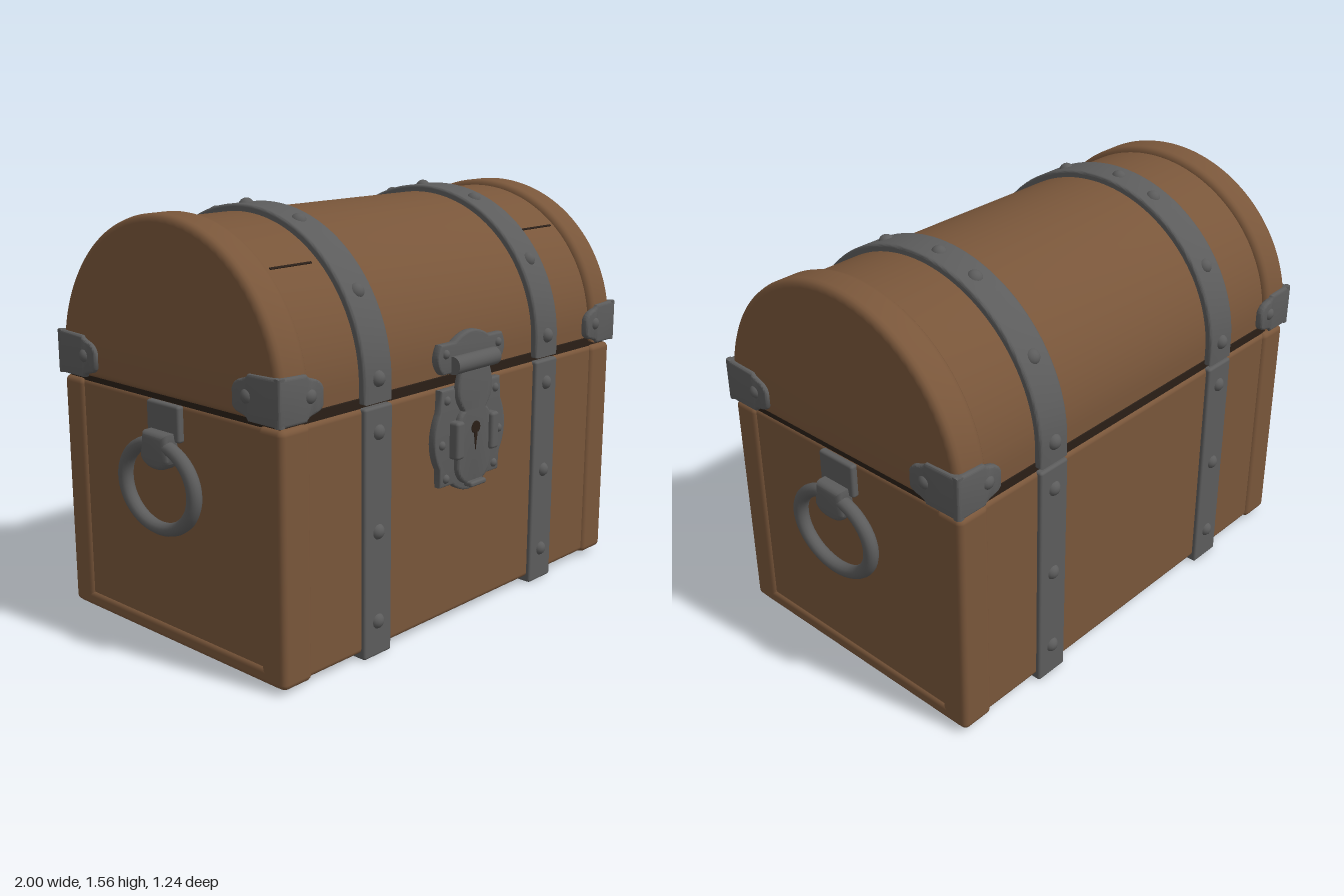
import * as THREE from 'three';
import { toCreasedNormals } from 'three/addons/utils/BufferGeometryUtils.js';
import { RoundedBoxGeometry } from 'three/addons/geometries/RoundedBoxGeometry.js';

const material = (name, color, side = THREE.FrontSide) => {
  const m = new THREE.MeshStandardMaterial({ color, side });
  m.name = name;
  return m;
};

export function createModel() {
  const wood = material('brown wood', 0x79563a);
  const metal = material('grey iron', 0x5c5c5c);
  const dark = material('dark gap', 0x2a1f17);
  const chest = new THREE.Group();
  chest.name = 'treasureChest';

  const CZ = -0.022, W = 0.577, SPRING = 0.98, H = 0.56, SEAM = 0.912;

  const add = (name, geo, mat, x = 0, y = 0, z = 0) => {
    const mesh = new THREE.Mesh(geo, mat);
    mesh.name = name;
    mesh.position.set(x, y, z);
    chest.add(mesh);
    return mesh;
  };
  const box = (name, w, h, d, r, mat, x, y, z) =>
    add(name, new RoundedBoxGeometry(w, h, d, 3, r), mat, x, y, z);

  // Extrusion from z = 0 to z = depth with softened edges
  const extrude = (shape, depth, bevel) => toCreasedNormals(new THREE.ExtrudeGeometry(shape, {
    depth: depth - 2 * bevel, bevelEnabled: true, bevelThickness: bevel, bevelSize: bevel,
    bevelOffset: -bevel, bevelSegments: 3, curveSegments: 40,
  }).translate(0, 0, bevel), 0.7);

  // Arched lid section, grown by d and running from x0 to x1
  const lidSection = (name, d, x0, x1, bevel, mat) => {
    const s = new THREE.Shape();
    s.moveTo(CZ - W - d, SEAM + 0.006);
    s.lineTo(CZ + W + d, SEAM + 0.006);
    s.lineTo(CZ + W + d, SPRING);
    s.absellipse(CZ, SPRING, W + d, H + d, 0, Math.PI, false);
    s.closePath();
    add(name, extrude(s, x1 - x0, bevel).rotateY(-Math.PI / 2), mat, x1);
  };

  const R = 0.03;
  const stud = (x, y, z) => add('stud', new THREE.SphereGeometry(R, 16, 10), metal, x, y, z);

  // Body, lid and the gap between them
  box('bodyPanels', 1.85, 0.885, 2 * W - 0.02, 0.02, wood, 0, 0.4645, CZ);
  box('seamCore', 1.84, 0.06, 2 * W - 0.04, 0.005, dark, 0, SEAM, CZ);
  lidSection('lidVault', -0.022, -0.82, 0.82, 0.004, wood);

  for (const sx of [-1, 1]) {
    // Corner posts of the body and end ribs of the lid
    for (const sz of [-1, 1])
      box('cornerPost', 0.135, 0.89, 0.115, 0.022, wood, sx * 0.8675, 0.462, CZ + sz * (W - 0.0575));
    lidSection('lidEndRib', 0, sx > 0 ? 0.8 : -0.935, sx > 0 ? 0.935 : -0.8, 0.026, wood);
    box('bottomEndRail', 0.135, 0.06, 2 * W - 0.04, 0.02, wood, sx * 0.8675, 0.047, CZ);

    // Iron bands with studs
    const bx = sx * 0.485;
    lidSection('lidBand', 0.004, bx - 0.07, bx + 0.07, 0.01, metal);
    box('bodyBand', 0.14, 0.906, 2 * W + 0.012, 0.01, metal, bx, 0.453, CZ);
    for (const sz of [-1, 1])
      for (const y of [0.13, 0.46, 0.815, 1.0]) stud(bx, y, CZ + sz * (W - 0.006));
    for (const a of [0.58, 1.2, 1.67, 1.97, 2.56])
      stud(bx, SPRING + (H - 0.01) * Math.sin(a), CZ + (W - 0.01) * Math.cos(a));

    // Brackets wrapping the four lower corners of the lid
    for (const sz of [-1, 1]) {
      const strap = (len, dir) => {
        const s = new THREE.Shape();
        s.moveTo(0, 0);
        s.lineTo(dir * (len - 0.075), 0);
        s.bezierCurveTo(dir * (len - 0.06), 0.03, dir * (len - 0.015), 0.01, dir * len, 0.045);
        s.lineTo(dir * len, 0.1);
        s.bezierCurveTo(dir * (len - 0.015), 0.145, dir * (len - 0.06), 0.13, dir * (len - 0.075), 0.155);
        s.lineTo(0, 0.16);
        s.closePath();
        return extrude(s, 0.03, 0.009);
      };
      const zc = CZ + sz * (W + 0.01), xc = sx * 0.95;
      const face = add('bracketFace', strap(0.2, -sx * sz), metal, xc, 0.918, zc - sz * 0.03);
      face.rotation.y = sz > 0 ? 0 : Math.PI;
      const end = add('bracketEnd', strap(0.225, sx * sz), metal, xc - sx * 0.03, 0.918, zc);
      end.rotation.y = sx * Math.PI / 2;
      stud(sx * 0.81, 1.0, zc - sz * 0.018);
      stud(xc - sx * 0.018, 1.0, CZ + sz * 0.43);
    }

    // Ring handle with its hanger
    const hz = -0.015;
    const ring = add('ringHandle', new THREE.TorusGeometry(0.17, 0.026, 14, 48), metal, sx * 0.972, 0.613, hz);
    ring.rotation.y = Math.PI / 2;
    ring.scale.set(1.09, 0.9, 1);
    box('hangerPlate', 0.03, 0.13, 0.17, 0.01, metal, sx * 0.935, 0.838, hz);
    const clasp = new THREE.Shape();
    clasp.moveTo(-0.06, 0.13);
    clasp.lineTo(-0.075, 0.04);
    clasp.quadraticCurveTo(-0.06, 0, 0, 0);
    clasp.quadraticCurveTo(0.06, 0, 0.075, 0.04);
    clasp.lineTo(0.06, 0.13);
    clasp.closePath();
    add('hangerClasp', extrude(clasp, 0.068, 0.02), metal, sx * 0.93, 0.675, hz).rotation.y = sx * Math.PI / 2;

    // Crack in the wood beside each lid rib
    const a = Math.asin((1.38 - SPRING) / (H - 0.022));
    const crack = add('woodCrack', new THREE.BoxGeometry(0.19, 0.008, 0.006), dark,
      sx * 0.685, 1.38, CZ + (W - 0.022) * Math.cos(a));
    crack.rotation.x = -a;
  }

  // Lock plate with bulging sides and clipped corners
  const plate = new THREE.Shape();
  plate.moveTo(-0.17, 0.9);
  plate.lineTo(0.17, 0.9);
  plate.lineTo(0.175, 0.82);
  plate.quadraticCurveTo(0.235, 0.71, 0.175, 0.61);
  plate.lineTo(0.17, 0.54);
  plate.lineTo(0.1, 0.54);
  plate.quadraticCurveTo(0, 0.46, -0.1, 0.54);
  plate.lineTo(-0.17, 0.54);
  plate.lineTo(-0.175, 0.61);
  plate.quadraticCurveTo(-0.235, 0.71, -0.175, 0.82);
  plate.closePath();
  add('lockPlate', extrude(plate, 0.034, 0.008), metal, 0, 0, 0.54);

  // Hinge plate on the lid
  const hinge = new THREE.Shape();
  hinge.moveTo(-0.16, 0.955);
  hinge.lineTo(0.16, 0.955);
  hinge.quadraticCurveTo(0.215, 1.0, 0.175, 1.065);
  hinge.lineTo(0.1, 1.065);
  hinge.quadraticCurveTo(0, 1.13, -0.1, 1.065);
  hinge.lineTo(-0.175, 1.065);
  hinge.quadraticCurveTo(-0.215, 1.0, -0.16, 0.955);
  add('hingePlate', extrude(hinge, 0.034, 0.008), metal, 0, 0, 0.54);
  add('hingePin', new THREE.CylinderGeometry(0.033, 0.033, 0.24, 20).rotateZ(Math.PI / 2), metal, 0, 0.985, 0.58);

  // Hasp hanging over the lock plate
  const hasp = new THREE.Shape();
  hasp.moveTo(-0.075, 0.97);
  hasp.lineTo(0.075, 0.97);
  hasp.bezierCurveTo(0.115, 0.89, 0.1, 0.85, 0.065, 0.81);
  hasp.quadraticCurveTo(0.095, 0.79, 0.095, 0.75);
  hasp.lineTo(0.095, 0.6);
  hasp.bezierCurveTo(0.08, 0.5, -0.08, 0.5, -0.095, 0.6);
  hasp.lineTo(-0.095, 0.75);
  hasp.quadraticCurveTo(-0.095, 0.79, -0.065, 0.81);
  hasp.bezierCurveTo(-0.1, 0.85, -0.115, 0.89, -0.075, 0.97);
  add('hasp', extrude(hasp, 0.03, 0.01), metal, 0, 0, 0.565);
  box('haspLip', 0.09, 0.02, 0.04, 0.008, metal, 0, 0.533, 0.597);

  // Hasp keepers and plate rivets
  for (const sx of [-1, 1]) {
    box('haspKeeper', 0.045, 0.14, 0.05, 0.012, metal, sx * 0.1, 0.71, 0.586);
    for (const [x, y] of [[0.14, 0.86], [0.165, 0.7], [0.14, 0.57], [0.15, 1.03]]) {
      stud(sx * x, y, 0.568).scale.setScalar(0.6);
    }
  }

  // Keyhole
  const key = new THREE.Shape();
  key.moveTo(-0.01, 0.725);
  key.lineTo(0, 0.655);
  key.lineTo(0.01, 0.725);
  key.absarc(0, 0.74, 0.024, -0.9, Math.PI + 0.9, false);
  key.closePath();
  add('keyhole', new THREE.ExtrudeGeometry(key, { depth: 0.004, bevelEnabled: false }), dark, 0, 0, 0.5935);

  return chest;
}
